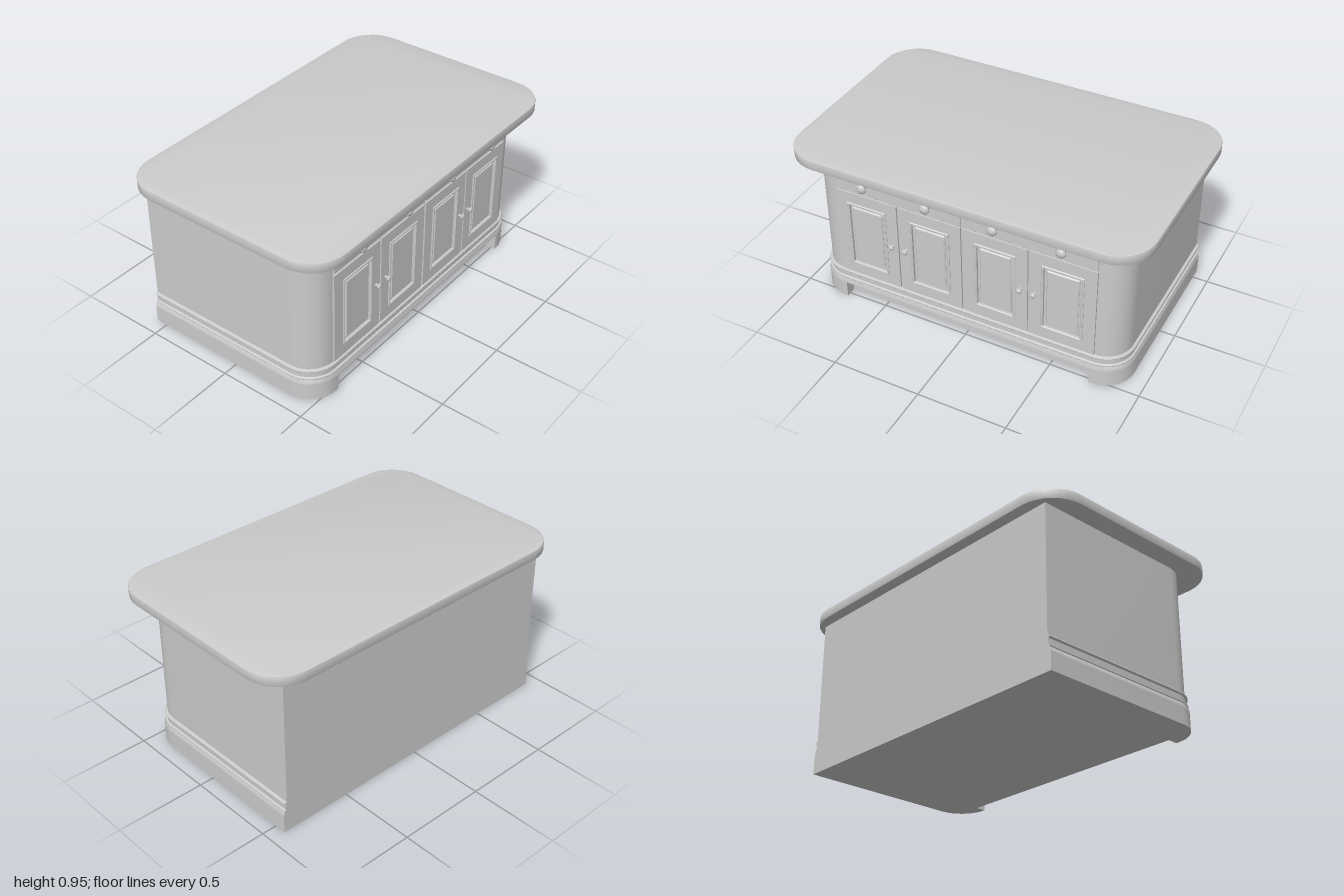
import * as THREE from 'three';
import { toCreasedNormals } from 'three/addons/utils/BufferGeometryUtils.js';

const grey = new THREE.MeshStandardMaterial({ color: 0xcccccc });
const BACK = -0.565;

function add(group, name, geometry, x = 0, y = 0, z = 0) {
  const mesh = new THREE.Mesh(geometry, grey);
  mesh.name = name;
  mesh.position.set(x, y, z);
  group.add(mesh);
  return mesh;
}

// Quarter-round corner points [x, z] from angle a0 to a0 + 90 degrees
function corner(cx, cz, r, a0, n = 8) {
  return Array.from({ length: n + 1 }, (_, i) => {
    const a = a0 + (i / n) * Math.PI / 2;
    return [cx + r * Math.cos(a), cz + r * Math.sin(a)];
  });
}

// Cabinet outline: square at the back, rounded at the front, grown by d
function footprint(d) {
  const r = 0.15 + d;
  return [
    [-0.895 - d, BACK], [0.895 + d, BACK],
    ...corner(0.745, 0.355, r, 0),
    ...corner(-0.745, 0.355, r, Math.PI / 2),
  ];
}

// Flat slab between two heights from an [x, z] outline
function slab(points, y0, y1, bevel = 0) {
  const shape = new THREE.Shape(points.map(([x, z]) => new THREE.Vector2(x, z)));
  const g = new THREE.ExtrudeGeometry(shape, {
    depth: y1 - y0 - 2 * bevel, bevelEnabled: bevel > 0, bevelSize: bevel,
    bevelThickness: bevel, bevelOffset: -bevel, bevelSegments: 2,
  });
  g.rotateX(Math.PI / 2).translate(0, y1 - bevel, 0);
  return toCreasedNormals(g, 0.5);
}

// Cabinet skin: the outline carried up a [growth, height] profile
function loft(profile) {
  const pos = [], index = [];
  const n = footprint(0).length;
  for (const [d, y] of profile) for (const [x, z] of footprint(d)) pos.push(x, y, z);
  for (let k = 0; k < profile.length - 1; k++) {
    for (let i = 0; i < n; i++) {
      const a = k * n + i, b = k * n + (i + 1) % n;
      index.push(a, a + n, b, b, a + n, b + n);
    }
  }
  // Bottom and top caps
  const top = (profile.length - 1) * n;
  for (let i = 1; i < n - 1; i++) index.push(0, i, i + 1, top, top + i + 1, top + i);
  const g = new THREE.BufferGeometry();
  g.setAttribute('position', new THREE.Float32BufferAttribute(pos, 3));
  g.setIndex(index);
  return toCreasedNormals(g, 0.5);
}

function rectangle(Type, w, h) {
  const p = new Type();
  p.moveTo(-w / 2, -h / 2);
  p.lineTo(w / 2, -h / 2);
  p.lineTo(w / 2, h / 2);
  p.lineTo(-w / 2, h / 2);
  p.closePath();
  return p;
}

// Upright board facing +z, optionally with a window and a bevelled edge
function board(w, h, depth, hole, bevel = 0) {
  const shape = rectangle(THREE.Shape, w, h);
  if (hole) shape.holes.push(rectangle(THREE.Path, hole[0], hole[1]));
  return toCreasedNormals(new THREE.ExtrudeGeometry(shape, {
    depth, bevelEnabled: bevel > 0, bevelSize: bevel, bevelThickness: bevel,
    bevelOffset: -bevel, bevelSegments: 1,
  }), 0.4);
}

// Turned knob pointing forward; s is the head radius
function knob(s) {
  const profile = [[0.55, 0], [0.5, 0.2], [0.3, 0.35], [0.35, 0.75], [0.85, 0.95],
    [1, 1.2], [0.9, 1.5], [0.55, 1.75], [0, 1.85]];
  const g = new THREE.LatheGeometry(profile.map(([r, y]) => new THREE.Vector2(r * s, y * s)), 16);
  return g.rotateX(Math.PI / 2);
}

export function createModel() {
  const model = new THREE.Group();
  model.name = 'kitchenIsland';

  // Worktop
  const q = Math.PI / 2;
  const topOutline = [
    ...corner(0.8, 0.428, 0.2, 0), ...corner(-0.8, 0.428, 0.2, q),
    ...corner(-0.8, -0.428, 0.2, 2 * q), ...corner(0.8, -0.428, 0.2, 3 * q),
  ];
  add(model, 'worktop', slab(topOutline, 0.893, 0.95, 0.005));

  // Cabinet with waist mouldings
  add(model, 'cabinet', loft([
    [0.02, 0.095], [0.02, 0.105], [0.012, 0.122], [0.015, 0.126], [0.015, 0.132],
    [0.005, 0.136], [0.005, 0.168], [0.013, 0.171], [0.015, 0.175], [0.013, 0.18],
    [0, 0.184], [0, 0.895],
  ]));

  // Plinth with a toe recess between the two front feet
  const outline = footprint(0.02);
  const split = 2 + 9;
  add(model, 'plinth', slab([
    ...outline.slice(0, split),
    [0.73, 0.525], [0.73, 0.465], [-0.73, 0.465], [-0.73, 0.525],
    ...outline.slice(split),
  ], 0, 0.096));

  const face = 0.503;

  // Drawers, each with two knobs
  for (const side of [-1, 1]) {
    const drawer = new THREE.Group();
    drawer.name = side < 0 ? 'rightDrawer' : 'leftDrawer';
    add(drawer, 'drawerFront', board(0.742, 0.138, 0.008, null, 0.003), side * 0.375, 0.803, face);
    for (const x of [0.19, 0.563]) add(drawer, 'drawerKnob', knob(0.028), side * x, 0.802, 0.512);
    model.add(drawer);
  }

  // Four framed doors, knobs meeting in pairs
  for (const [x, knobX] of [[-0.564, -0.413], [-0.189, -0.333], [0.189, 0.333], [0.564, 0.411]]) {
    const door = new THREE.Group();
    door.name = 'door';
    door.position.set(x, 0.458, 0);
    add(door, 'doorFrame', board(0.366, 0.536, 0.012, [0.235, 0.41]), 0, 0, face);
    add(door, 'panelMoulding', board(0.235, 0.41, 0.014, [0.205, 0.38], 0.004), 0, 0, face);
    add(door, 'raisedPanel', board(0.178, 0.353, 0.004, null, 0.006), 0, 0, face);
    add(door, 'doorKnob', knob(0.017), knobX - x, 0.006, 0.514);
    model.add(door);
  }

  return model;
}
